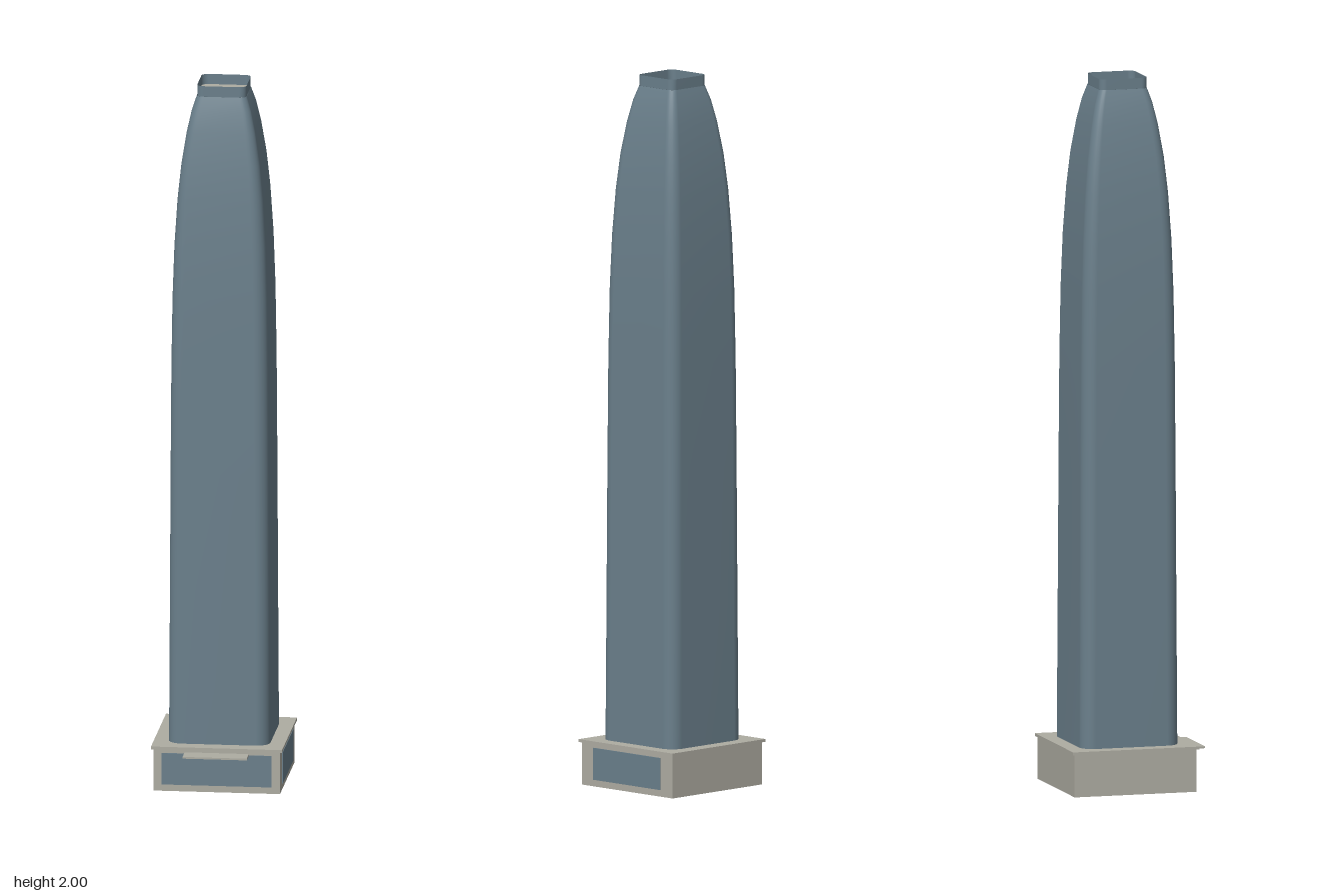
import * as THREE from 'three';

const CZ = -0.024; // centre of tower and podium along z

// Outline of a rounded square, counter-clockwise seen from above
function roundedSquare(half, radius, y, steps = 6) {
  const points = [];
  for (let corner = 0; corner < 4; corner++) {
    for (let i = 0; i <= steps; i++) {
      const a = (corner + i / steps) * Math.PI / 2;
      const mid = (corner + 0.5) * Math.PI / 2;
      const c = half - radius;
      points.push(new THREE.Vector3(
        Math.sign(Math.cos(mid)) * c + Math.cos(a) * radius,
        y,
        -Math.sign(Math.sin(mid)) * c - Math.sin(a) * radius));
    }
  }
  return points;
}

// Skin between successive closed cross-sections, listed from bottom to top
function loft(sections) {
  const n = sections[0].length;
  const index = [];
  for (let s = 0; s < sections.length - 1; s++) {
    for (let i = 0; i < n; i++) {
      const a = s * n + i, b = s * n + (i + 1) % n;
      index.push(a, b, b + n, a, b + n, a + n);
    }
  }
  const geometry = new THREE.BufferGeometry().setFromPoints(sections.flat());
  geometry.setIndex(index);
  geometry.computeVertexNormals();
  return geometry;
}

export function createModel() {
  const glass = new THREE.MeshStandardMaterial({ color: 0x6a7f8b, side: THREE.DoubleSide });
  glass.name = 'blue grey glass';
  const stone = new THREE.MeshStandardMaterial({ color: 0xaeaca2 });
  stone.name = 'pale stone';

  const model = new THREE.Group();
  model.name = 'tower';
  const add = (name, geometry, material, x, y, z) => {
    const mesh = new THREE.Mesh(geometry, material);
    mesh.name = name;
    mesh.position.set(x, y, z);
    model.add(mesh);
    return mesh;
  };
  const box = (name, material, w, h, d, x, y, z) =>
    add(name, new THREE.BoxGeometry(w, h, d), material, x, y, z);

  // Podium and its slightly overhanging roof slab
  box('podium', stone, 0.354, 0.12, 0.354, 0, 0.06, CZ);
  box('podiumRoof', stone, 0.367, 0.008, 0.367, 0, 0.124, CZ);

  // Glazing on the front and left sides, and the entrance canopy
  box('frontWindow', glass, 0.308, 0.09, 0.004, 0, 0.064, CZ + 0.178);
  box('sideWindow', glass, 0.004, 0.09, 0.262, 0.178, 0.064, CZ);
  box('entranceCanopy', stone, 0.18, 0.005, 0.055, 0, 0.11, 0.1775);

  // Tapering shaft: [height, half width]
  const profile = [
    [0.126, 0.142], [0.5, 0.14], [0.9, 0.138], [1.2, 0.136], [1.4, 0.133],
    [1.55, 0.128], [1.68, 0.12], [1.78, 0.110], [1.87, 0.096], [1.93, 0.083], [1.97, 0.070],
  ];
  const section = ([y, half]) => roundedSquare(half, half * 0.27, y);
  add('shaft', loft(profile.map(section)), glass, 0, 0, CZ);

  // Open parapet around a sunken roof
  add('parapet', loft([[1.97, 0.069], [2, 0.069]].map(section)), glass, 0, 0, CZ);
  const roofShape = new THREE.Shape(
    roundedSquare(0.069, 0.0186, 0).map((p) => new THREE.Vector2(p.x, -p.z)));
  add('sunkenRoof', new THREE.ShapeGeometry(roofShape), stone, 0, 1.971, CZ)
    .rotation.x = -Math.PI / 2;

  return model;
}
